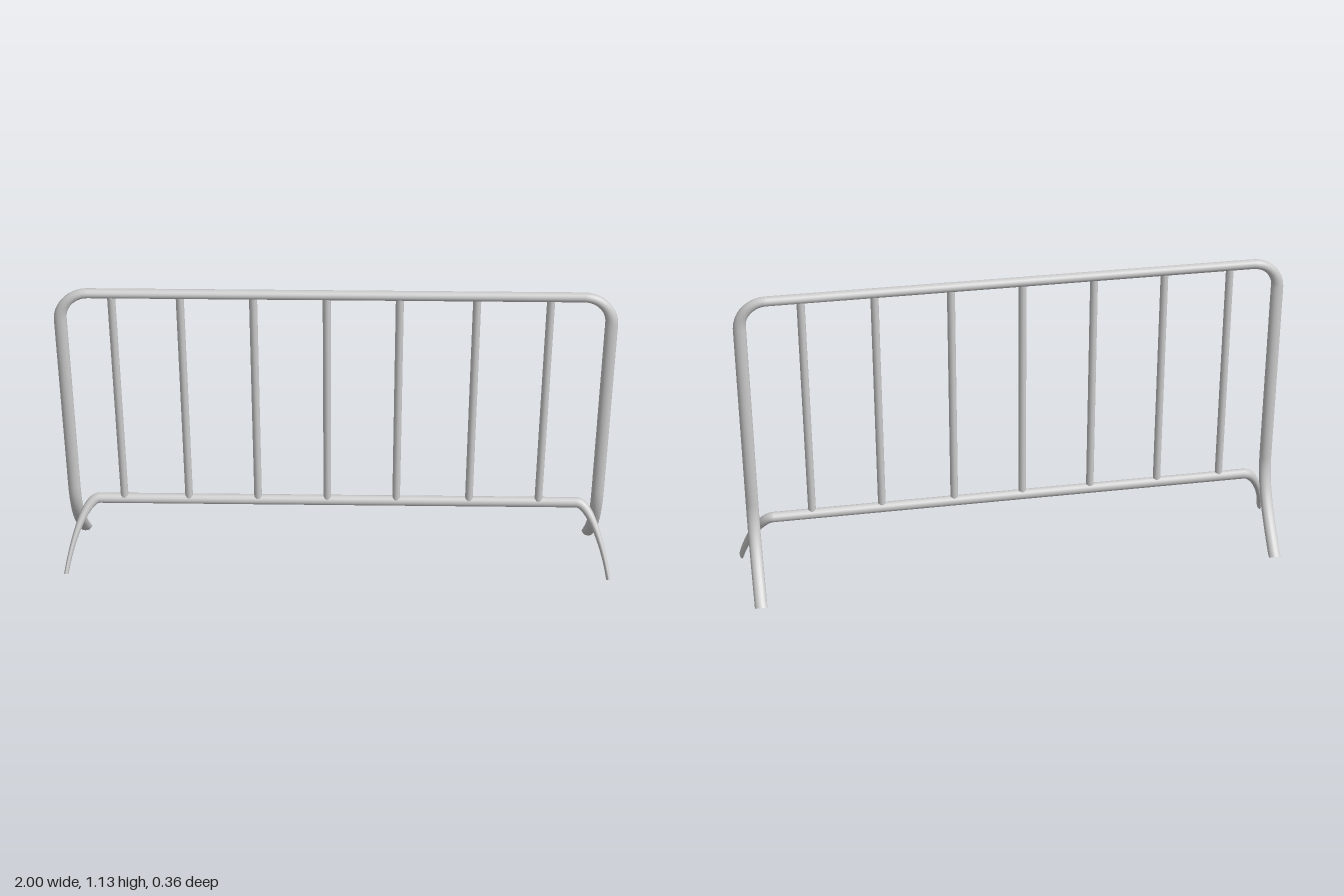
import * as THREE from 'three';

const material = new THREE.MeshStandardMaterial({ color: 0xcccccc });
const v = (x, y, z) => new THREE.Vector3(x, y, z);
const mirrored = (p) => v(-p.x, p.y, p.z);

// Sweeps an oval section along points; radii(point) gives [first, second] half widths
function sweep(points, radii, sides = 16) {
  const pos = [], index = [], last = points.length - 1;
  let n = v(1, 0, 0);
  points.forEach((p, i) => {
    const t = v(0, 0, 0);
    if (i > 0) t.add(p.clone().sub(points[i - 1]).normalize());
    if (i < last) t.add(points[i + 1].clone().sub(p).normalize());
    t.normalize();
    n = n.clone().addScaledVector(t, -n.dot(t)).normalize();
    const b = t.clone().cross(n);
    const [ra, rb] = radii(p);
    for (let j = 0; j < sides; j++) {
      const a = (j / sides) * Math.PI * 2;
      const q = p.clone().addScaledVector(n, Math.cos(a) * ra).addScaledVector(b, Math.sin(a) * rb);
      pos.push(q.x, Math.max(q.y, 0), q.z); // feet are cut flat at the ground
      if (i < last) {
        const k = (j + 1) % sides, r = i * sides, s = r + sides;
        index.push(r + j, r + k, s + j, r + k, s + k, s + j);
      }
    }
  });
  // end caps with their own vertices for a sharp rim
  for (const [ring, flip] of [[0, true], [last, false]]) {
    const base = pos.length / 3;
    for (let j = 0; j < sides * 3; j++) pos.push(pos[ring * sides * 3 + j]);
    for (let j = 1; j < sides - 1; j++) {
      index.push(base, base + (flip ? j + 1 : j), base + (flip ? j : j + 1));
    }
  }
  const g = new THREE.BufferGeometry();
  g.setAttribute('position', new THREE.Float32BufferAttribute(pos, 3));
  g.setIndex(index);
  g.computeVertexNormals();
  return g;
}

export function createModel() {
  const group = new THREE.Group();
  const add = (name, geometry) => {
    const mesh = new THREE.Mesh(geometry, material);
    mesh.name = name;
    group.add(mesh);
    return mesh;
  };

  // Outer frame: rear foot, post, rounded corner, top rail and back down
  const X = 0.951, top = 1.117;
  const leg = new THREE.CubicBezierCurve3(
    v(X, -0.006, -0.165), v(X, 0.075, -0.09), v(X, 0.17, 0.027), v(X, 0.32, 0.028)).getPoints(14);
  const corner = new THREE.CubicBezierCurve3(
    v(X, 1.02, 0.028), v(X, 1.075, 0.027), v(0.905, top, 0.022), v(0.855, top, 0.02)).getPoints(10);
  const half = [...leg, ...corner];
  const outer = [...half, ...half.map(mirrored).reverse()];
  outer.forEach((p) => { p.x -= 0.007; });
  add('outerFrame', sweep(outer, (p) => {
    const k = THREE.MathUtils.clamp((p.y - 1.02) / 0.097, 0, 1);
    return [0.0225 - 0.0055 * k, 0.0185];
  }));

  // Lower rail, bending down into flattened front feet at both ends
  const foot = new THREE.CubicBezierCurve3(
    v(0.991, 0.022, 0.166), v(0.97, 0.13, 0.1), v(0.92, 0.262, 0.02), v(0.87, 0.26, 0.0185)).getPoints(18);
  add('lowerRail', sweep([...foot, ...foot.map(mirrored).reverse()], (p) => {
    const k = THREE.MathUtils.clamp((p.y - 0.02) / 0.24, 0, 1);
    return [0.008 + 0.011 * k * k, 0.0185];
  }));

  // Upright bars
  for (const x of [-0.778, -0.542, -0.29, -0.037, 0.214, 0.479, 0.732]) {
    const bar = add('uprightBar', new THREE.CylinderGeometry(0.014, 0.014, 0.85, 12));
    bar.position.set(x, 0.687, 0.02);
  }
  return group;
}
